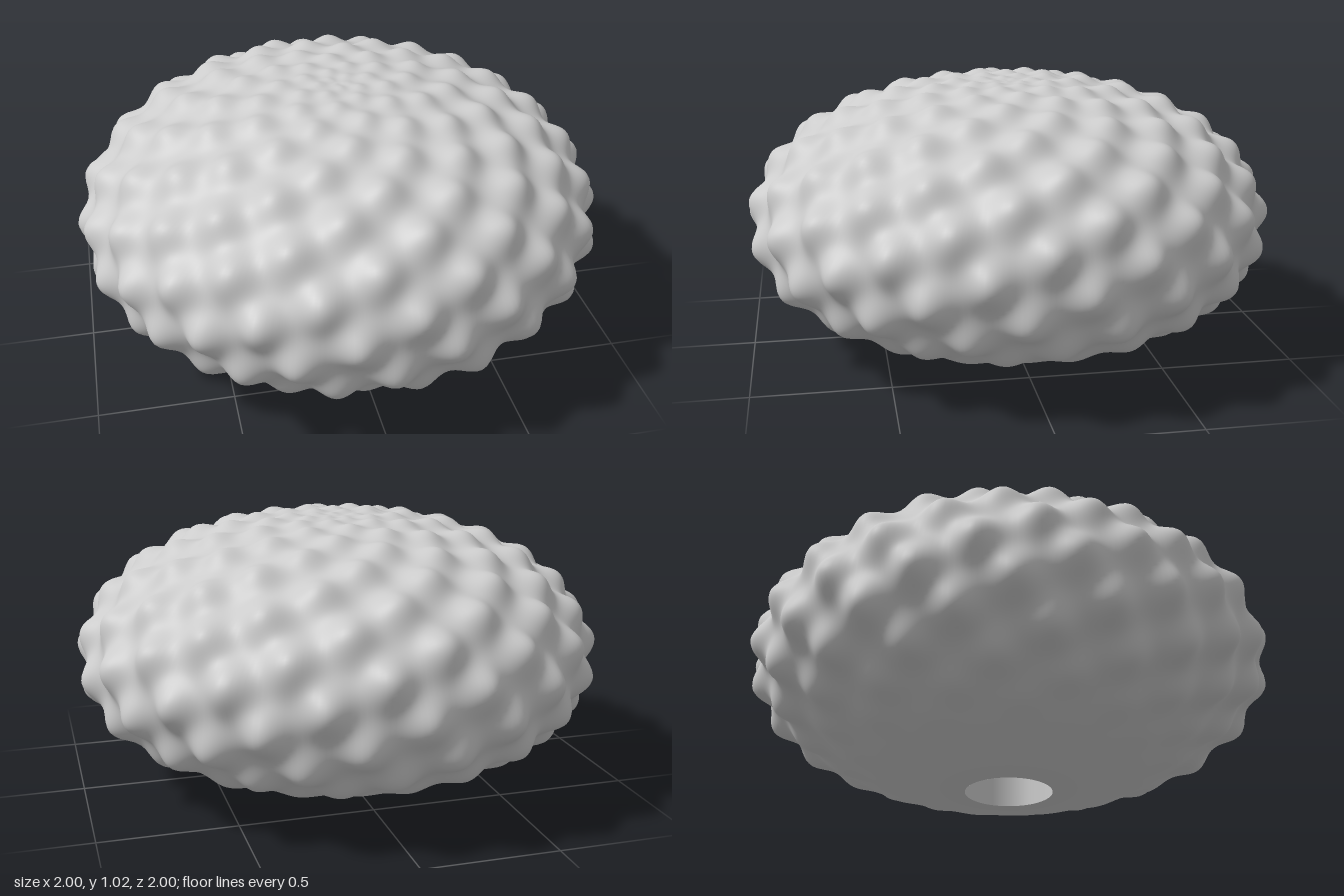
import * as THREE from 'three';

const RADIUS = 0.93, HALF_HEIGHT = 0.505, CENTER_Y = 0.497;
const HOLE_RADIUS = 0.165;
const THETA_MAX = Math.PI - Math.asin(HOLE_RADIUS / RADIUS);
const GOLDEN = Math.PI * (3 - Math.sqrt(5));
const PER_RADIAN = 82; // knobs per radian from the crown to the base

// Point on the smooth squashed body
function bodyPoint(theta, alpha) {
  const r = RADIUS * Math.sin(theta);
  return new THREE.Vector3(r * Math.sin(alpha), CENTER_Y + HALF_HEIGHT * Math.cos(theta), r * Math.cos(alpha));
}

function bodyNormal(p) {
  return new THREE.Vector3(p.x / RADIUS ** 2, (p.y - CENTER_Y) / HALF_HEIGHT ** 2, p.z / RADIUS ** 2).normalize();
}

// Knobs on a golden-angle spiral, small at the crown and fading out below
function makeKnobs() {
  const knobs = [];
  for (let i = -2; ; i++) {
    const theta = (i + 2.7) / PER_RADIAN;
    if (theta > THETA_MAX) break;
    const s = Math.sin(theta);
    const arc = Math.hypot(RADIUS * Math.cos(theta), HALF_HEIGHT * s);
    const spacing = Math.sqrt((2 * Math.PI * RADIUS * s * arc) / PER_RADIAN);
    const fade = 1 - THREE.MathUtils.smoothstep(theta, 1.85, 2.65);
    knobs.push({
      center: bodyPoint(theta, (i - 91) * GOLDEN - 0.05),
      height: 0.073 * s ** 0.7 * fade,
      width: 0.29 * spacing,
    });
  }
  return knobs;
}

function makeBody() {
  const rows = 170, cols = 320;
  const knobs = makeKnobs();
  const positions = [], indices = [];
  for (let i = 0; i <= rows; i++) {
    const theta = (i / rows) * THETA_MAX;
    for (let j = 0; j < cols; j++) {
      const p = bodyPoint(theta, (j / cols) * Math.PI * 2);
      let lift = 0;
      for (const k of knobs) {
        const d2 = p.distanceToSquared(k.center) / (2 * k.width * k.width);
        if (d2 < 9) lift += k.height * Math.exp(-d2);
      }
      p.addScaledVector(bodyNormal(p), lift);
      positions.push(p.x, p.y, p.z);
      if (i < rows) {
        const next = (j + 1) % cols;
        const a = i * cols + j, d = i * cols + next;
        const b = a + cols, c = d + cols;
        if (i > 0) indices.push(a, b, d);
        indices.push(b, c, d);
      }
    }
  }
  const geometry = new THREE.BufferGeometry();
  geometry.setAttribute('position', new THREE.Float32BufferAttribute(positions, 3));
  geometry.setIndex(indices);
  geometry.computeVertexNormals();
  // The crown's duplicate points share one upright normal
  for (let j = 0; j < cols; j++) geometry.attributes.normal.setXYZ(j, 0, 1, 0);
  return geometry;
}

export function createModel() {
  const group = new THREE.Group();
  group.name = 'knobblyShell';
  const material = new THREE.MeshStandardMaterial({ color: 0xcccccc, side: THREE.DoubleSide });

  const body = new THREE.Mesh(makeBody(), material);
  body.name = 'knobblyBody';
  group.add(body);

  // Round recess in the underside
  const depth = 0.3;
  const wall = new THREE.Mesh(new THREE.CylinderGeometry(HOLE_RADIUS, HOLE_RADIUS, depth, 64, 1, true), material);
  wall.name = 'recessWall';
  wall.position.y = depth / 2;
  group.add(wall);

  const end = new THREE.Mesh(new THREE.CircleGeometry(HOLE_RADIUS, 64), material);
  end.name = 'recessEnd';
  end.rotation.x = Math.PI / 2;
  end.position.y = depth;
  group.add(end);

  return group;
}
